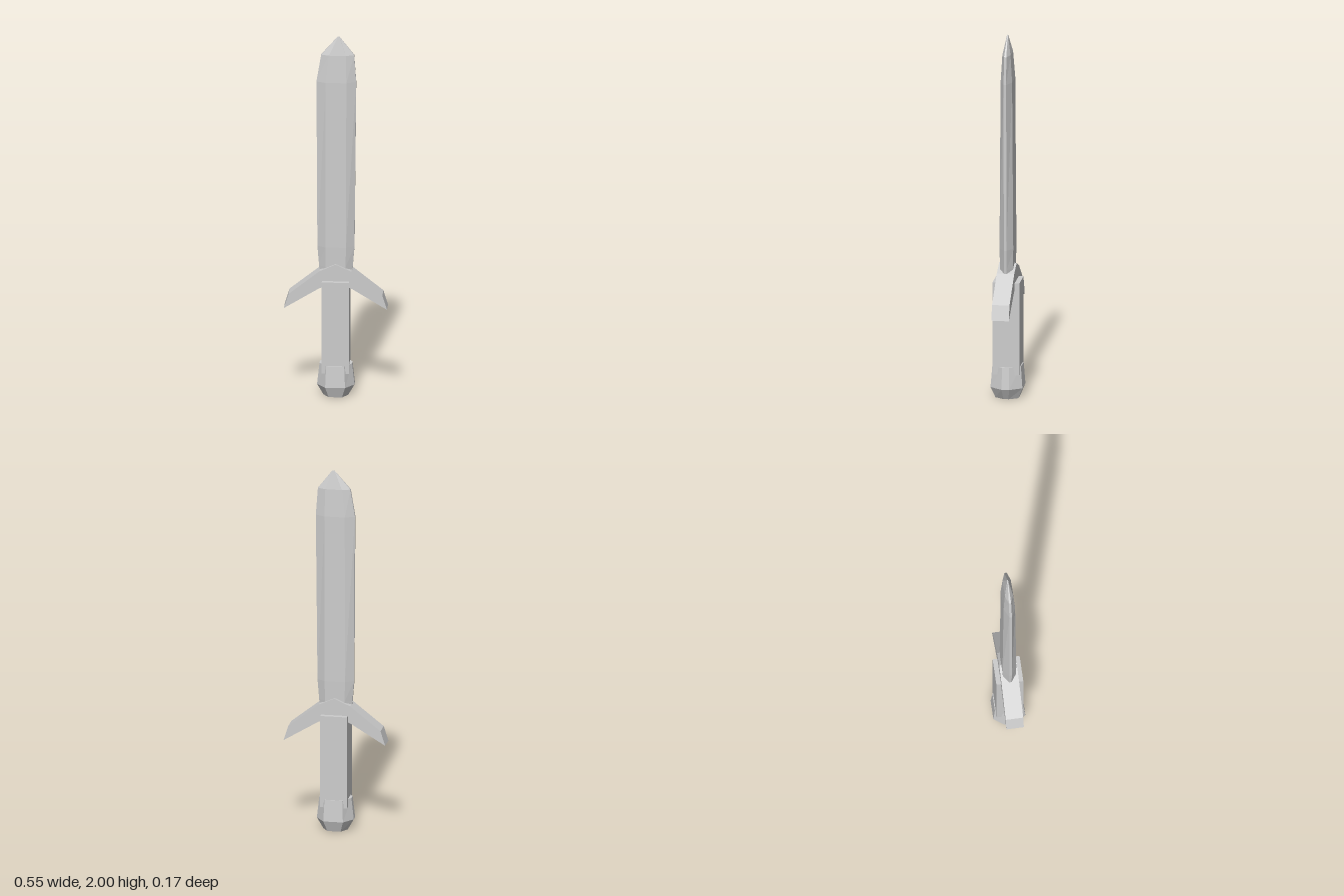
import * as THREE from 'three';

const steel = new THREE.MeshStandardMaterial({ color: 0xcccccc });
steel.name = 'pale grey';

// Closed loft through stacked eight-sided sections.
// Each section: [y, centreX, halfWidthX, flatHalfX, halfDepthZ, sideHalfZ]
function loftOctagons(sections) {
  const rings = sections.map(([y, cx, w, f, d, s]) =>
    [[w, s], [f, d], [-f, d], [-w, s], [-w, -s], [-f, -d], [f, -d], [w, -s]]
      .map(([x, z]) => [cx + x, y, z]));
  const pos = [];
  const tri = (a, b, c) => pos.push(...a, ...b, ...c);
  for (let r = 0; r < rings.length - 1; r++) {
    const lo = rings[r], hi = rings[r + 1];
    for (let i = 0; i < 8; i++) {
      const j = (i + 1) % 8;
      tri(lo[i], hi[i], lo[j]);
      tri(lo[j], hi[i], hi[j]);
    }
  }
  // End caps
  const bottom = rings[0], top = rings[rings.length - 1];
  for (let i = 1; i < 7; i++) {
    tri(bottom[0], bottom[i], bottom[i + 1]);
    tri(top[0], top[i + 1], top[i]);
  }
  const geo = new THREE.BufferGeometry();
  geo.setAttribute('position', new THREE.Float32BufferAttribute(pos, 3));
  geo.computeVertexNormals(); // unshared corners give flat facets
  return geo;
}

export function createModel() {
  const group = new THREE.Group();
  group.name = 'shortSword';
  const add = (name, geo) => {
    const mesh = new THREE.Mesh(geo, steel);
    mesh.name = name;
    group.add(mesh);
    return mesh;
  };

  // Blade: bevelled bar with a slightly off-centre point
  add('blade', loftOctagons([
    [0.66, 0, 0.085, 0.05, 0.034, 0.007],
    [0.72, 0, 0.09, 0.053, 0.035, 0.007],
    [0.83, 0, 0.099, 0.055, 0.037, 0.007],
    [1.75, 0.002, 0.106, 0.055, 0.031, 0.007],
    [1.90, 0.009, 0.088, 0.045, 0.022, 0.006],
    [2.00, 0.014, 0.006, 0.004, 0.003, 0.001],
  ]));

  // Guard: drooping arms, mirrored about the centre
  const half = [[0.085, 0.70], [0.25, 0.57], [0.275, 0.49], [0.09, 0.602]];
  const outline = [[0, 0.738], ...half, [0, 0.64],
    ...half.map(([x, y]) => [-x, y]).reverse()];
  const guardGeo = new THREE.ExtrudeGeometry(
    new THREE.Shape(outline.map(([x, y]) => new THREE.Vector2(x, y))),
    { depth: 0.094, bevelEnabled: false });
  guardGeo.translate(0, 0, -0.047);
  add('guard', guardGeo);

  // Grip: square bar whose lower corners poke through the pommel
  const grip = add('grip', new THREE.BoxGeometry(0.145, 0.51, 0.145));
  grip.position.y = 0.39;

  // Pommel: tapered eight-sided cap
  add('pommel', loftOctagons([
    [0, 0, 0.066, 0.036, 0.062, 0.014],
    [0.06, 0, 0.1, 0.053, 0.086, 0.02],
    [0.178, 0, 0.087, 0.048, 0.077, 0.018],
  ]));

  return group;
}
